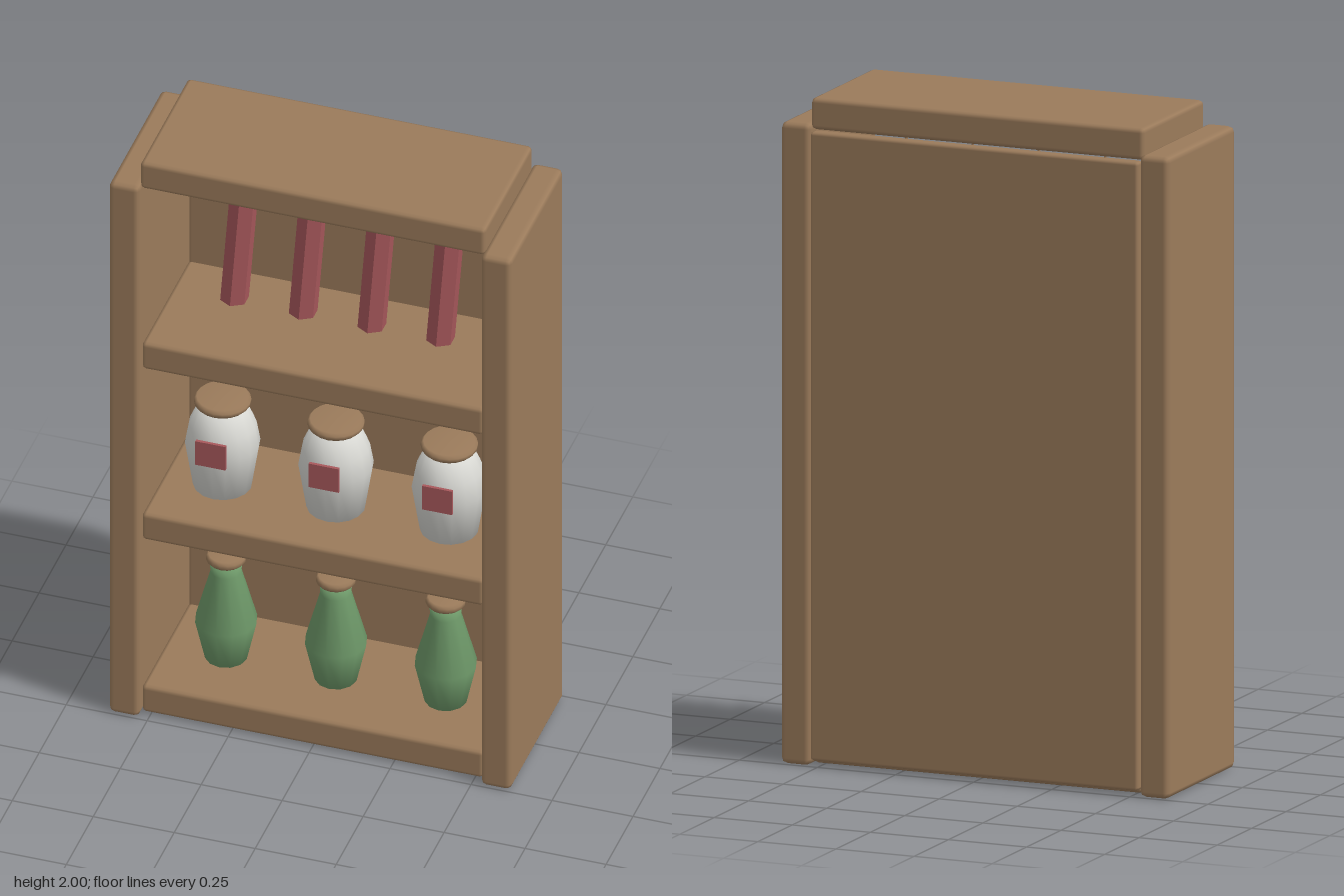
import * as THREE from 'three';
import { RoundedBoxGeometry } from 'three/addons/geometries/RoundedBoxGeometry.js';

const material = (name, color, extra = {}) => {
  const m = new THREE.MeshStandardMaterial({ color, ...extra });
  m.name = name;
  return m;
};

export function createModel() {
  const wood = material('wood', 0x9b7b5b);
  const red = material('red', 0xa8585c);
  red.flatShading = true;
  const green = material('green glass', 0x6f9a6a);
  const white = material('white ceramic', 0xd8d8d3);

  const model = new THREE.Group();
  model.name = 'pantryShelf';

  const add = (parent, name, geometry, mat, x = 0, y = 0, z = 0) => {
    const mesh = new THREE.Mesh(geometry, mat);
    mesh.name = name;
    mesh.position.set(x, y, z);
    parent.add(mesh);
    return mesh;
  };
  const group = (name, x, y, z) => {
    const g = new THREE.Group();
    g.name = name;
    g.position.set(x, y, z);
    model.add(g);
    return g;
  };
  // Bevelled board given by its size, bottom height and centre
  const board = (name, w, h, d, x, y, z, bevel = 0.014) =>
    add(model, name, new RoundedBoxGeometry(w, h, d, 1, bevel), wood, x, y + h / 2, z);
  const lathe = (points, sides) =>
    new THREE.LatheGeometry(points.map(([r, y]) => new THREE.Vector2(r, y)), sides);

  // Cabinet
  for (const [name, s] of [['leftSide', 1], ['rightSide', -1]]) {
    board(name, 0.095, 1.925, 0.494, s * 0.574, 0, 0, 0.018);
  }
  board('topBoard', 1.066, 0.095, 0.446, 0, 1.905, -0.003);
  board('backPanel', 1.05, 1.885, 0.042, 0, 0.018, -0.229, 0.01);
  [['bottomShelf', 0.005], ['middleShelf', 0.63], ['upperShelf', 1.25]].forEach(([name, y]) =>
    board(name, 1.056, 0.096, 0.44, 0, y, 0));

  // Bottles with stoppers
  const bottleGeo = lathe([[0, 0], [0.063, 0], [0.093, 0.135], [0.046, 0.31], [0.05, 0.35], [0, 0.35]], 12);
  const stopperGeo = lathe([[0, 0], [0.052, 0], [0.059, 0.008], [0.059, 0.02], [0.052, 0.028], [0, 0.028]], 16);
  // Jars with lids and labels
  const jarGeo = lathe([[0, 0], [0.087, 0], [0.111, 0.155], [0.1, 0.22], [0.07, 0.29], [0, 0.29]], 16);
  const lidGeo = lathe([[0, 0], [0.076, 0], [0.084, 0.009], [0.084, 0.019], [0.076, 0.028], [0, 0.028]], 20);
  const labelGeo = new THREE.BoxGeometry(0.093, 0.085, 0.0095);
  for (const i of [-1, 0, 1]) {
    const bottle = group('bottle', i * 0.339, 0.1, 0);
    add(bottle, 'bottleBody', bottleGeo, green);
    add(bottle, 'stopper', stopperGeo, wood, 0, 0.346);

    const jar = group('jar', i * 0.35, 0.725, 0);
    add(jar, 'jarBody', jarGeo, white);
    add(jar, 'jarLid', lidGeo, wood, 0, 0.289);
    add(jar, 'jarLabel', labelGeo, red, 0, 0.178, 0.11);
  }

  // Hanging sausages, leaning slightly, on strings from a rail
  const sausageGeo = new THREE.CylinderGeometry(0.043, 0.043, 0.405, 6);
  sausageGeo.applyMatrix4(new THREE.Matrix4().makeShear(0, 0, 0.075, 0, 0, 0));
  const stringGeo = new THREE.CylinderGeometry(0.004, 0.004, 0.1, 6);
  for (let i = 0; i < 4; i++) {
    const hanging = group('hangingSausage', -0.298 + i * 0.212, 1.608, 0);
    add(hanging, 'sausage', sausageGeo, red);
    add(hanging, 'string', stringGeo, wood, -0.013, 0.25);
  }
  const rail = add(model, 'rail', new THREE.CylinderGeometry(0.005, 0.005, 0.7, 6), wood, 0.01, 1.902, 0);
  rail.rotation.z = Math.PI / 2;

  return model;
}
